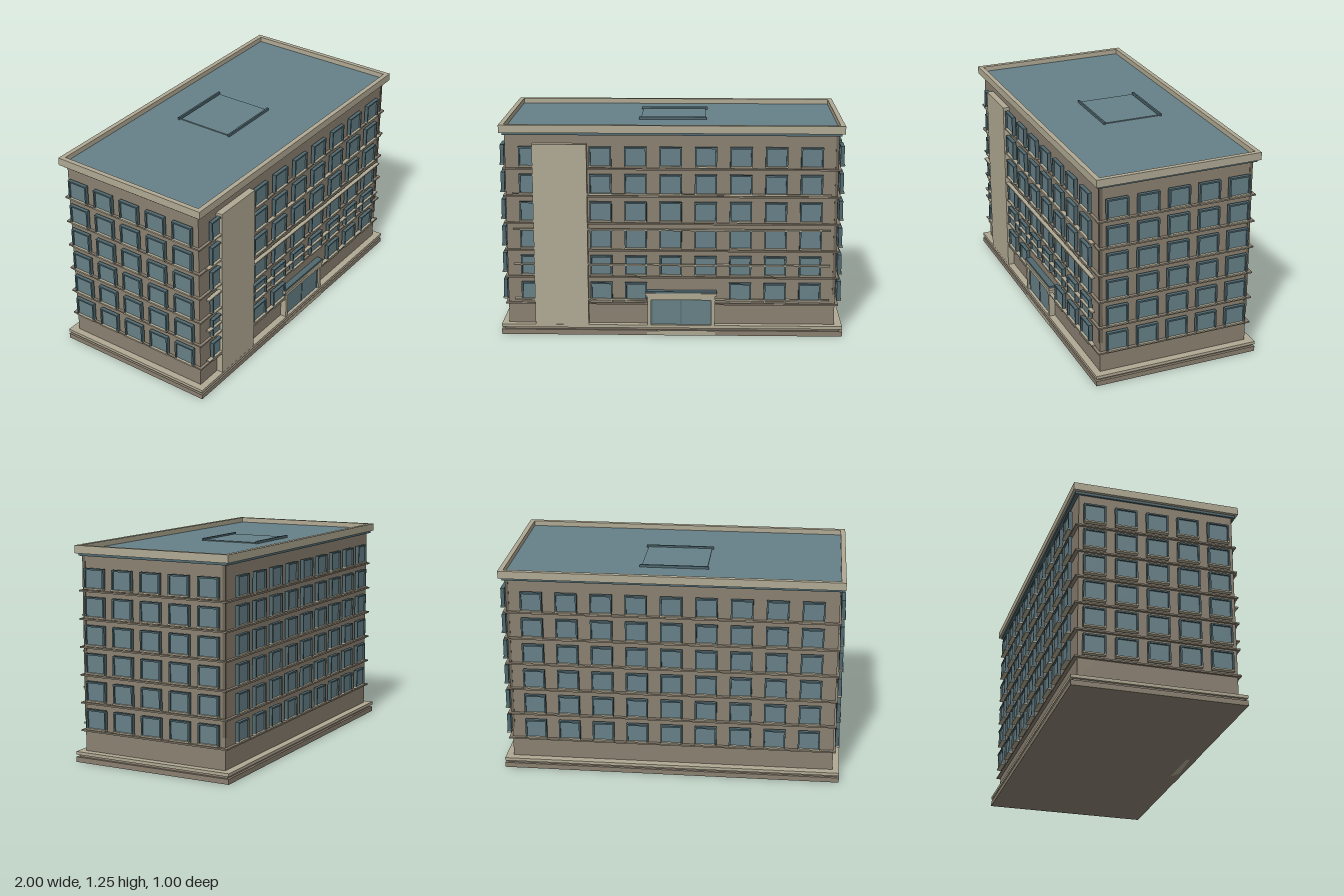
import * as THREE from 'three';
import { mergeGeometries } from 'three/addons/utils/BufferGeometryUtils.js';

const paint = (name, color) => {
  const m = new THREE.MeshStandardMaterial({ color });
  m.name = name;
  return m;
};

// Box between two corners
const block = (x0, x1, y0, y1, z0, z1) =>
  new THREE.BoxGeometry(x1 - x0, y1 - y0, z1 - z0)
    .translate((x0 + x1) / 2, (y0 + y1) / 2, (z0 + z1) / 2);

export function createModel() {
  const wall = paint('wallBrown', 0x8a8070);
  const stone = paint('paleStone', 0xb0a993);
  const glass = paint('glassTeal', 0x668087);
  const frame = paint('frameTeal', 0x4f686f);
  const shade = paint('darkBrown', 0x6c6355);

  const building = new THREE.Group();
  building.name = 'officeBuilding';
  const add = (name, material, ...geometries) => {
    const mesh = new THREE.Mesh(mergeGeometries(geometries), material);
    mesh.name = name;
    building.add(mesh);
  };

  // Plinth and main body
  add('plinth', wall,
    block(-1, 1, 0, 0.03, -0.498, 0.498),
    block(-0.985, 0.985, 0.03, 0.044, -0.483, 0.483));
  add('plinthCap', stone, block(-1, 1, 0.044, 0.062, -0.498, 0.498));
  add('walls', wall, block(-0.96, 0.955, 0.05, 1.195, -0.453, 0.458));
  add('cornerPosts', shade,
    block(0.94, 0.957, 0.245, 1.195, 0.442, 0.461),
    block(0.94, 0.957, 0.245, 1.195, -0.456, -0.438));

  // Cornice, parapet and roof
  add('cornice', frame, block(-0.972, 0.972, 1.19, 1.206, -0.475, 0.475));
  add('parapet', stone,
    block(-0.99, 0.99, 1.205, 1.25, 0.462, 0.49),
    block(-0.99, 0.99, 1.205, 1.25, -0.49, -0.462),
    block(-0.99, -0.962, 1.205, 1.25, -0.462, 0.462),
    block(0.962, 0.99, 1.205, 1.25, -0.462, 0.462));
  add('roof', glass, block(-0.962, 0.962, 1.2, 1.22, -0.462, 0.462));
  add('roofHatch', glass, block(-0.192, 0.192, 1.22, 1.226, -0.235, 0.1));
  add('roofHatchRails', frame,
    block(-0.202, 0.202, 1.22, 1.235, -0.253, -0.242),
    block(-0.202, 0.202, 1.22, 1.235, 0.105, 0.116));

  // Floor ledges running round the building
  const floors = [0, 1, 2, 3, 4, 5];
  add('floorLedges', wall, ...floors.map((f) => {
    const y = 0.18 + f * 0.1615;
    return block(-0.975, 0.975, y, y + 0.009, -0.473, 0.475);
  }));

  // Windows: pane, three-sided frame and sill, turned to face each side
  const panes = [], frames = [], sills = [];
  const addWindow = (u, y, distance, angle) => {
    const w = 0.064, h = 0.117, t = 0.009;
    const place = (list, g) => list.push(g.translate(u, y, distance).rotateY(angle));
    place(panes, block(-w + t, w - t, 0.006, h - t, 0.004, 0.012));
    place(frames, block(-w, -w + t, 0, h, 0, 0.022));
    place(frames, block(w - t, w, 0, h, 0, 0.022));
    place(frames, block(-w + t, w - t, h - t, h, 0, 0.022));
    place(sills, block(-w, w, -0.002, 0.007, 0, 0.027));
  };
  for (const f of floors) {
    const y = 0.2 + f * 0.1615;
    for (let k = -4; k <= 4; k++) {
      const x = -0.005 + 0.2025 * k;
      const overDoor = f === 0 && (k === 0 || k === 1);
      if (!overDoor && k !== -3) addWindow(x, y, 0.468, 0);
      addWindow(-x, y, 0.468, Math.PI);
    }
    for (let k = -2; k <= 2; k++) {
      addWindow(0.1825 * k, y, 0.97, Math.PI / 2);
      addWindow(0.1825 * k, y, 0.97, -Math.PI / 2);
    }
  }
  add('windowPanes', glass, ...panes);
  add('windowFrames', frame, ...frames);
  add('windowSills', stone, ...sills);

  // Pale tower and horizontal bars on the front
  add('stairTower', stone, block(-0.8, -0.487, 0.055, 1.14, 0.45, 0.497));
  add('frontBars', stone, ...[0.215, 0.426, 0.637, 0.846].map(
    (y) => block(-0.92, 0.92, y - 0.004, y + 0.004, 0.472, 0.495))
    .slice(1), // the lowest bar is split round the entrance
    block(-0.92, -0.145, 0.211, 0.219, 0.472, 0.495),
    block(0.255, 0.92, 0.211, 0.219, 0.472, 0.495));

  // Entrance
  add('entranceSurround', stone,
    block(-0.142, -0.12, 0.06, 0.24, 0.45, 0.495),
    block(0.232, 0.254, 0.06, 0.24, 0.45, 0.495),
    block(-0.12, 0.232, 0.216, 0.24, 0.45, 0.495),
    block(-0.155, 0.267, 0.24, 0.257, 0.45, 0.499));
  add('canopyTop', frame, block(-0.15, 0.262, 0.257, 0.267, 0.45, 0.496));
  add('entranceGlass', glass, block(-0.12, 0.232, 0.06, 0.216, 0.45, 0.48));
  add('entranceFrame', frame,
    block(0.053, 0.059, 0.062, 0.216, 0.478, 0.483),
    block(-0.12, -0.113, 0.062, 0.216, 0.478, 0.484),
    block(0.225, 0.232, 0.062, 0.216, 0.478, 0.484),
    block(-0.113, 0.225, 0.209, 0.216, 0.478, 0.484));
  add('entranceStep', stone, block(-0.143, 0.255, 0, 0.027, 0.44, 0.5));

  return building;
}
